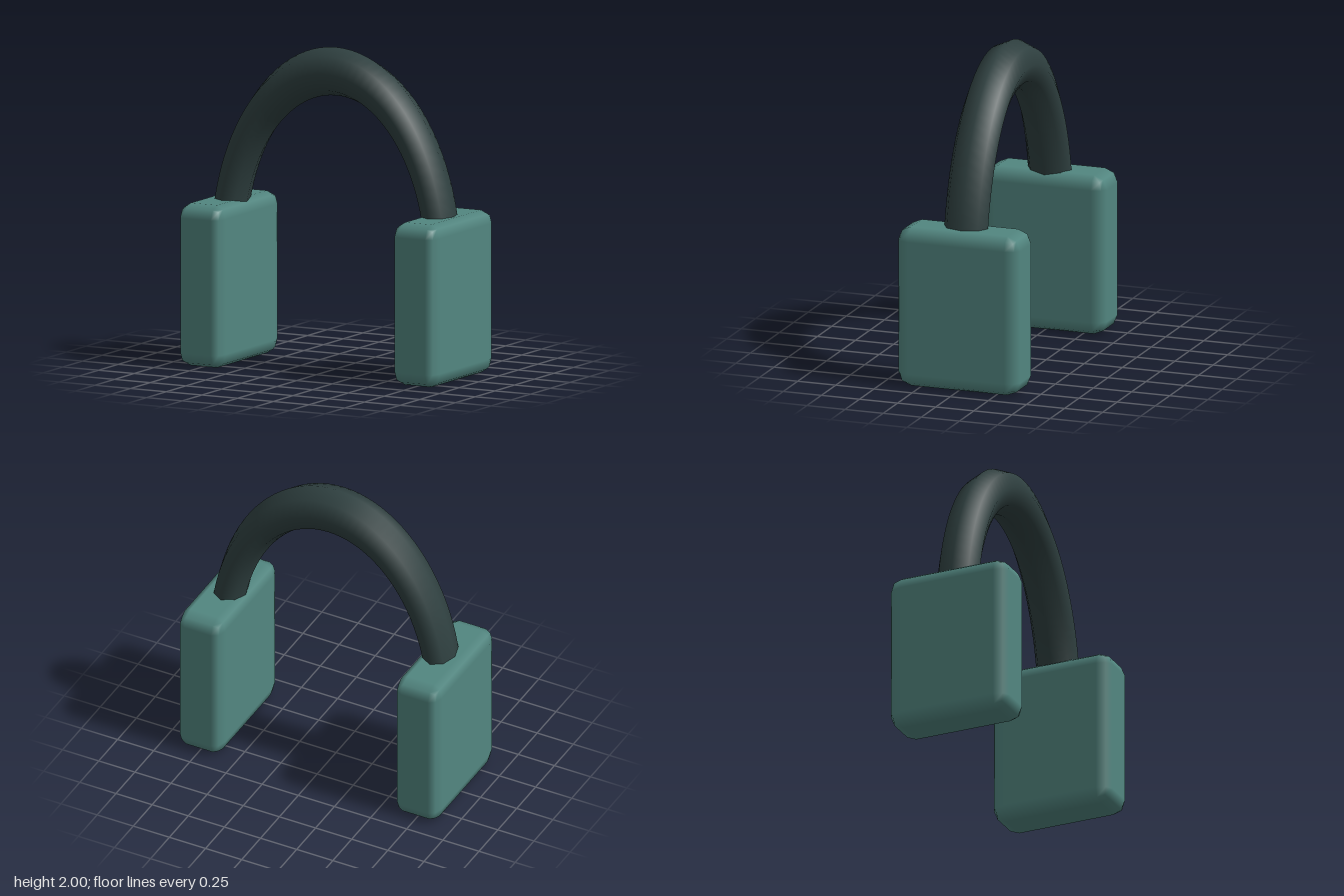
import * as THREE from 'three';
import { RoundedBoxGeometry } from 'three/addons/geometries/RoundedBoxGeometry.js';

const teal = new THREE.MeshStandardMaterial({ name: 'teal', color: 0x528680 });
const darkSlate = new THREE.MeshStandardMaterial({ name: 'darkSlate', color: 0x2f4040 });

// Rounded ear cup, its bevel narrower across x
function earCup(name, side) {
  const squash = 0.68;
  const geometry = new RoundedBoxGeometry(0.3 / squash, 1.01, 0.8, 1, 0.085);
  geometry.scale(squash, 1, 1);
  const cup = new THREE.Mesh(geometry, teal);
  cup.name = name;
  cup.position.set(side * 0.75, 0.505, 0);
  return cup;
}

// Half ring, stretched upward, whose ends sit inside the cups
function headBand() {
  const geometry = new THREE.TorusGeometry(1.15, 0.15, 8, 48, Math.PI);
  geometry.scale(0.75 / 1.15, 1, 0.143 / 0.15);
  const band = new THREE.Mesh(geometry, darkSlate);
  band.name = 'headBand';
  band.position.y = 0.7;
  return band;
}

export function createModel() {
  const model = new THREE.Group();
  model.name = 'headphones';
  model.add(earCup('leftEarCup', 1), earCup('rightEarCup', -1), headBand());
  return model;
}
